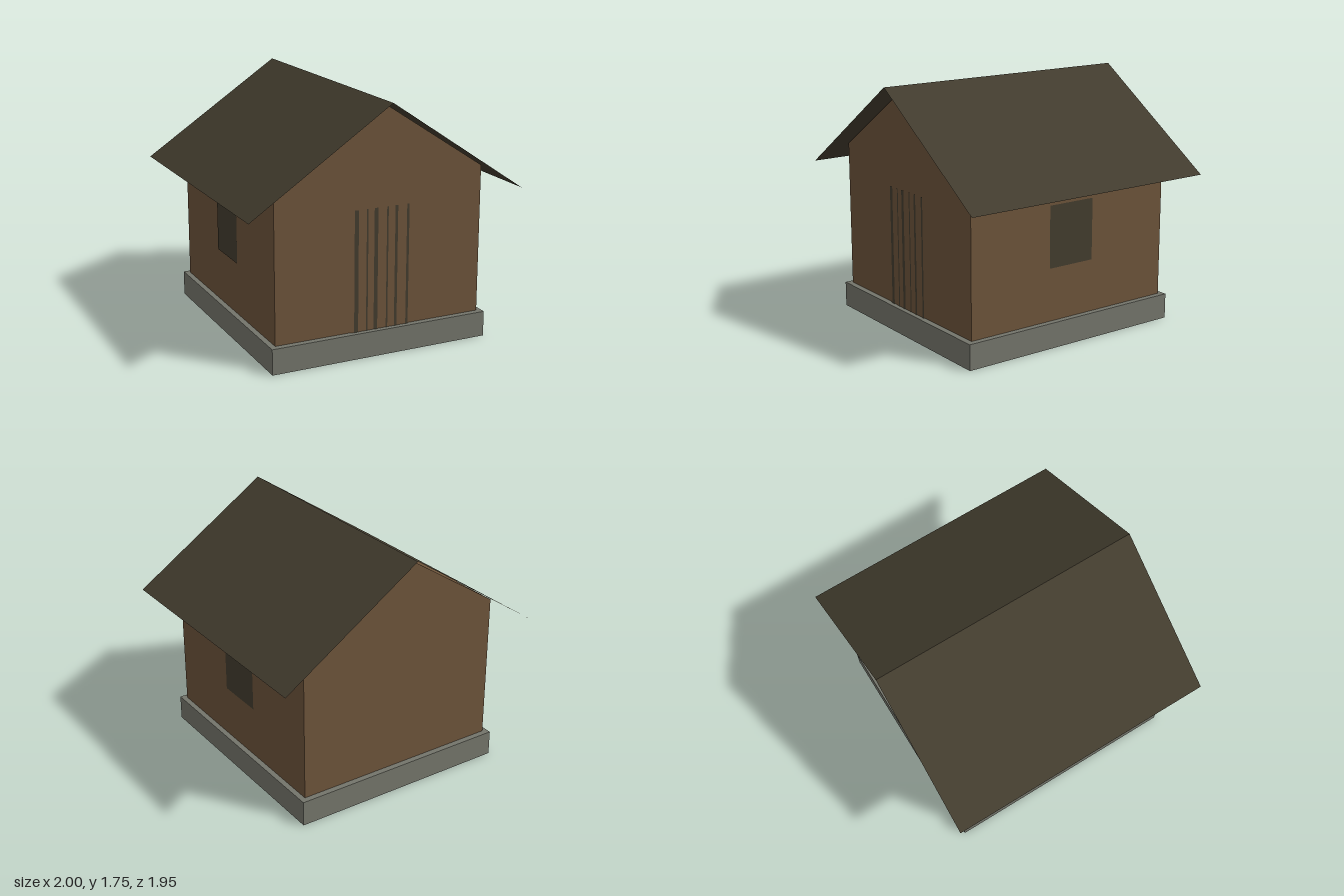
import * as THREE from 'three';

const mat = (name, color, side = THREE.FrontSide) => {
  const m = new THREE.MeshStandardMaterial({ color, side });
  m.name = name;
  return m;
};

export function createModel() {
  const wood = mat('brown wood', 0x6c533a, THREE.DoubleSide);
  const dark = mat('dark timber', 0x423c2e, THREE.DoubleSide);
  const stone = mat('grey stone', 0x73746a, THREE.DoubleSide);
  const model = new THREE.Group();
  model.name = 'cabin';

  const add = (name, geometry, material, x = 0, y = 0, z = 0, parent = model) => {
    const mesh = new THREE.Mesh(geometry, material);
    mesh.name = name;
    mesh.position.set(x, y, z);
    parent.add(mesh);
    return mesh;
  };

  // Foundation: four skirt faces and a top slab, open underneath
  const H = 0.18, FX = 0.805, FZ = 0.86;
  const foundation = new THREE.Group();
  foundation.name = 'foundation';
  model.add(foundation);
  for (const s of [1, -1]) {
    const end = add('skirtEnd', new THREE.PlaneGeometry(FX * 2, H), stone, 0, H / 2, s * FZ, foundation);
    const side = add('skirtSide', new THREE.PlaneGeometry(FZ * 2, H), stone, s * FX, H / 2, 0, foundation);
    end.rotation.y = s > 0 ? 0 : Math.PI;
    side.rotation.y = s * Math.PI / 2;
  }
  add('slab', new THREE.PlaneGeometry(FX * 2, FZ * 2), stone, 0, H, 0, foundation).rotation.x = -Math.PI / 2;

  // Walls: gabled outline swept from back to front
  const WX = 0.767, WZ = 0.82;
  const outline = new THREE.Shape([
    [-WX, H + 0.002], [WX, H + 0.002], [WX, 1.232], [0, 1.733], [-WX, 1.232],
  ].map(([x, y]) => new THREE.Vector2(x, y)));
  add('walls', new THREE.ExtrudeGeometry(outline, { depth: WZ * 2, bevelEnabled: false }), wood, 0, 0, -WZ);

  // Roof: two thin sloping sheets meeting at the ridge
  const ridge = 1.752, eave = 1.083, RZ = 0.973;
  const slope = Math.atan2(ridge - eave, 1);
  for (const s of [1, -1]) {
    const sheet = new THREE.PlaneGeometry(Math.hypot(1, ridge - eave), RZ * 2);
    sheet.rotateX(-Math.PI / 2);
    add(s > 0 ? 'leftRoof' : 'rightRoof', sheet, dark, s * 0.5, (ridge + eave) / 2).rotation.z = -s * slope;
  }

  // Door panel, running down behind the foundation, with dark plank seams
  const y0 = 0.05, y1 = 1.03;
  add('door', new THREE.PlaneGeometry(0.434, y1 - y0), wood, 0, (y0 + y1) / 2, WZ + 0.003);
  for (const [x, w] of [[-0.18, 0.03], [-0.1, 0.012], [-0.035, 0.028], [0.05, 0.012], [0.117, 0.02], [0.204, 0.018]]) {
    add('doorSeam', new THREE.PlaneGeometry(w, y1 - H), dark, x, (y1 + H) / 2, WZ + 0.006);
  }

  // One window on each side wall
  for (const s of [1, -1]) {
    add(s > 0 ? 'leftWindow' : 'rightWindow', new THREE.PlaneGeometry(0.365, 0.435), dark,
      s * (WX + 0.004), 0.772, 0).rotation.y = s * Math.PI / 2;
  }

  return model;
}
